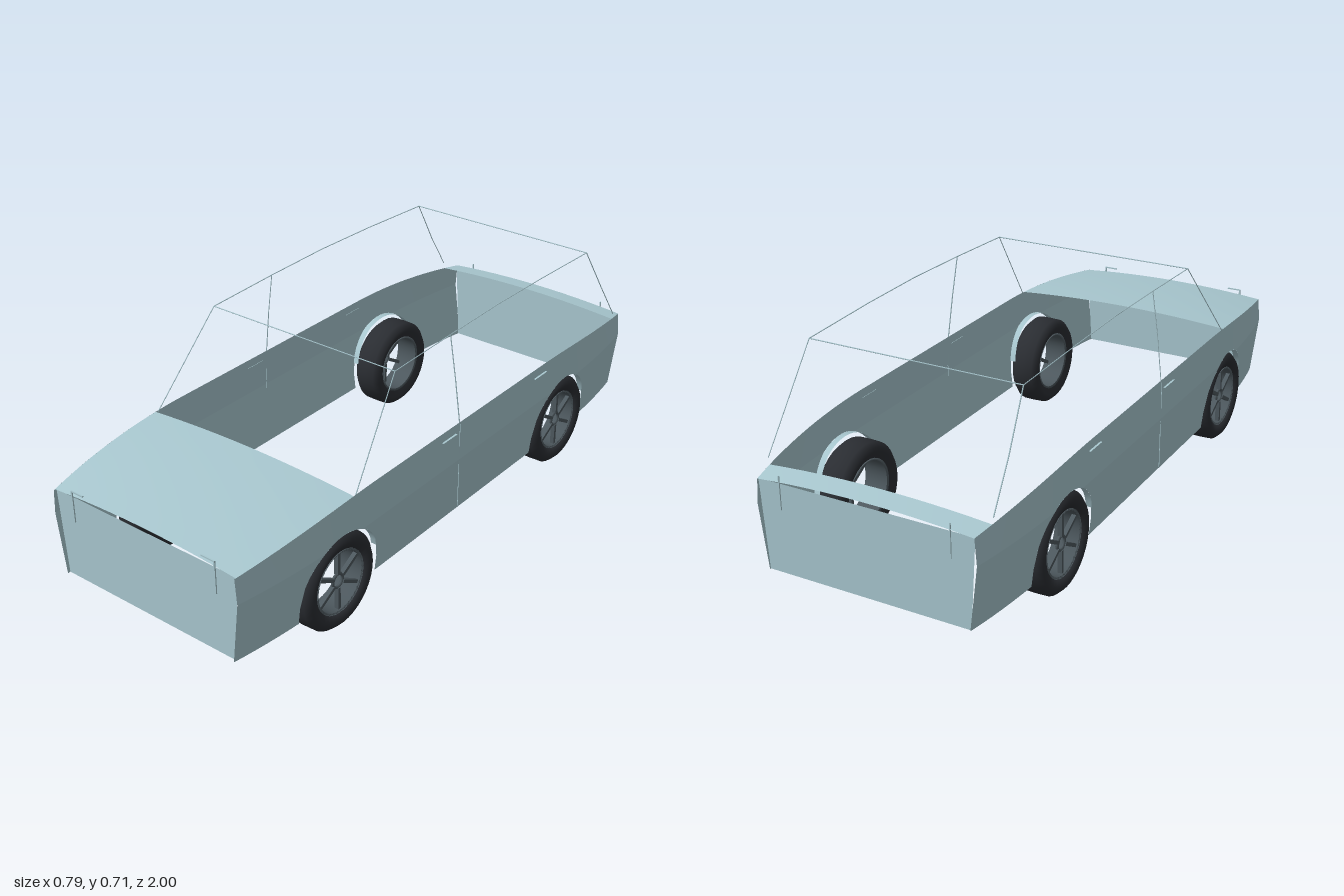
import * as THREE from 'three';

const body = new THREE.MeshStandardMaterial({ color: 0xa9c8d0, side: THREE.DoubleSide });
body.name = 'body paint';
const rubber = new THREE.MeshStandardMaterial({ color: 0x2a2d32 });
rubber.name = 'tyre rubber';
const metal = new THREE.MeshStandardMaterial({ color: 0x4d585e });
metal.name = 'wheel metal';

const WHEEL_Z = [0.603, -0.567], WHEEL_Y = 0.155, ARCH = 0.165, BOTTOM = 0.1;

// Body rules: taper towards both ends, half width at a height, and top edge
const taper = z => Math.max(0, (Math.abs(z) - 0.45) / 0.55);
const halfWidth = z => 0.385 - 0.04 * taper(z) ** 2.5;
const topY = z => 0.425 - 0.045 * taper(z) ** 1.7;
function sideX(z, y) {
  const lean = y < 0.3 ? -0.018 + 0.024 * (y - 0.1) / 0.2 : 0.006 * (topY(z) - y) / (topY(z) - 0.3);
  return halfWidth(z) + lean;
}

// Sheet of nu by nv cells whose corners come from point(u, v)
function sheet(nu, nv, point, flat) {
  const pos = [], index = [];
  for (let j = 0; j <= nv; j++) for (let i = 0; i <= nu; i++) pos.push(...point(i / nu, j / nv));
  for (let j = 0; j < nv; j++) for (let i = 0; i < nu; i++) {
    const a = j * (nu + 1) + i, b = a + nu + 1;
    index.push(a, a + 1, b, a + 1, b + 1, b);
  }
  let g = new THREE.BufferGeometry();
  g.setAttribute('position', new THREE.Float32BufferAttribute(pos, 3));
  g.setIndex(index);
  if (flat) g = g.toNonIndexed();
  g.computeVertexNormals();
  return g;
}

function add(parent, name, geometry, material, x = 0, y = 0, z = 0) {
  const m = new THREE.Mesh(geometry, material);
  m.name = name;
  m.position.set(x, y, z);
  parent.add(m);
  return m;
}

// Thin rods joining a list of points
function wire(parent, name, points) {
  const up = new THREE.Vector3(0, 1, 0);
  for (let i = 1; i < points.length; i++) {
    const a = new THREE.Vector3(...points[i - 1]), b = new THREE.Vector3(...points[i]);
    const d = b.clone().sub(a);
    const m = add(parent, name, new THREE.CylinderGeometry(0.0018, 0.0018, d.length(), 4), body);
    m.position.copy(a).add(b).multiplyScalar(0.5);
    m.quaternion.setFromUnitVectors(up, d.normalize());
  }
}

// Strip of side panel between two z stations above a lower edge
function sidePanel(parent, z0, z1, n, lower) {
  add(parent, 'sidePanel', sheet(n, 2, (u, v) => {
    const z = z0 + (z1 - z0) * u, low = lower(z);
    const y = v === 0 ? low : v === 1 ? topY(z) : Math.max(0.3, low + 0.001);
    return [sideX(z, y), y, z];
  }, true), body);
}

function makeWheel() {
  const wheel = new THREE.Group();
  wheel.name = 'wheel';
  const profile = [[0.102, -0.04], [0.125, -0.051], [0.138, -0.05], [0.153, -0.034],
    [0.154, 0], [0.153, 0.034], [0.138, 0.05], [0.125, 0.051], [0.102, 0.04], [0.102, -0.04]];
  const tyre = new THREE.LatheGeometry(profile.map(p => new THREE.Vector2(...p)), 36);
  add(wheel, 'tyre', tyre, rubber).rotation.z = -Math.PI / 2;
  const rim = new THREE.LatheGeometry([[0.096, -0.04], [0.103, -0.043], [0.103, 0.043], [0.096, 0.04], [0.096, -0.04]]
    .map(p => new THREE.Vector2(...p)), 36);
  add(wheel, 'rim', rim, metal).rotation.z = -Math.PI / 2;
  add(wheel, 'hubRing', new THREE.TorusGeometry(0.022, 0.005, 6, 20), metal, 0.03).rotation.y = Math.PI / 2;
  for (let i = 0; i < 6; i++) {
    const a = i * Math.PI / 3;
    const spoke = add(wheel, 'spoke', new THREE.BoxGeometry(0.014, 0.076, 0.011), metal,
      0.03, Math.cos(a) * 0.061, Math.sin(a) * 0.061);
    spoke.rotation.x = a;
  }
  return wheel;
}

// Everything on the model's left; the right is its mirror
function makeSide() {
  const side = new THREE.Group();
  side.name = 'side';
  const floor = () => BOTTOM;
  const [f, r] = WHEEL_Z;
  sidePanel(side, 1, f + ARCH, 6, floor);
  sidePanel(side, f - ARCH, r + ARCH, 12, floor);
  sidePanel(side, r - ARCH, -1, 6, floor);

  for (const c of WHEEL_Z) {
    const archY = z => WHEEL_Y + Math.sqrt(Math.max(0, ARCH ** 2 - (z - c) ** 2));
    sidePanel(side, c + ARCH, c - ARCH, 24, archY);
    // Inward lip around the wheel opening
    add(side, 'archLip', sheet(18, 1, (u, v) => {
      const a = Math.PI * (0.08 + 0.84 * u);
      const z = c + Math.cos(a) * ARCH, y = WHEEL_Y + Math.sin(a) * ARCH;
      return [sideX(z, y) - 0.02 * v, y, z];
    }), body);
    const wheel = makeWheel();
    wheel.position.set(0.332, WHEEL_Y, c);
    side.add(wheel);
  }

  // Window frame
  wire(side, 'frontPillar', [[0.383, 0.42, 0.545], [0.345, 0.7, 0.318]]);
  wire(side, 'roofRail', [[0.345, 0.7, 0.318], [0.346, 0.709, 0.05], [0.346, 0.714, -0.2],
    [0.345, 0.71, -0.45], [0.342, 0.7, -0.738]]);
  wire(side, 'middlePillar', [[0.346, 0.709, 0.05], [0.367, 0.57, 0.048], [0.385, 0.425, 0.045]]);
  wire(side, 'rearPillar', [[0.342, 0.7, -0.738], [0.354, 0.54, -0.84], [0.36, 0.41, -0.93]]);

  // Door seam, handles and lamp brackets
  add(side, 'doorSeam', new THREE.BoxGeometry(0.002, 0.29, 0.003), body, 0.389, 0.275, 0.045);
  for (const z of [0.1, -0.41])
    add(side, 'doorHandle', new THREE.BoxGeometry(0.008, 0.002, 0.07), body, 0.389, 0.395, z);
  add(side, 'frontLampPost', new THREE.BoxGeometry(0.005, 0.105, 0.004), body, 0.272, 0.3525, 0.996);
  add(side, 'frontLampBar', new THREE.BoxGeometry(0.048, 0.004, 0.004), body, 0.25, 0.403, 0.996);
  add(side, 'rearLampPost', new THREE.BoxGeometry(0.003, 0.105, 0.004), body, 0.272, 0.3525, -0.998);
  return side;
}

// Cambered lid between two z stations
function lid(z0, z1, n) {
  return sheet(12, n, (u, v) => {
    const s = u * 2 - 1, z = z1 + (z0 - z1) * v;
    return [s * halfWidth(z), topY(z) + 0.016 * (1 - s * s), z];
  });
}

export function createModel() {
  const car = new THREE.Group();
  car.name = 'car';
  const left = makeSide(), right = makeSide();
  left.name = 'leftSide';
  right.name = 'rightSide';
  right.scale.x = -1;
  car.add(left, right);

  add(car, 'hood', lid(0.555, 0.995, 8), body);
  add(car, 'rearDeck', lid(-1, -0.93, 2), body);

  // Flat end panels, narrower at the bottom; dir keeps each facing outward
  for (const [name, z, dir] of [['frontPanel', 0.99, 1], ['rearPanel', -0.995, -1]])
    add(car, name, sheet(1, 1, (u, v) => [dir * (u * 2 - 1) * (0.328 + 0.017 * v), BOTTOM + 0.28 * v, z]), body);

  // Roof cross bars
  wire(car, 'frontRoofBar', [[-0.345, 0.7, 0.318], [0.345, 0.7, 0.318]]);
  wire(car, 'rearRoofBar', [[-0.342, 0.7, -0.738], [0.342, 0.7, -0.738]]);
  return car;
}
